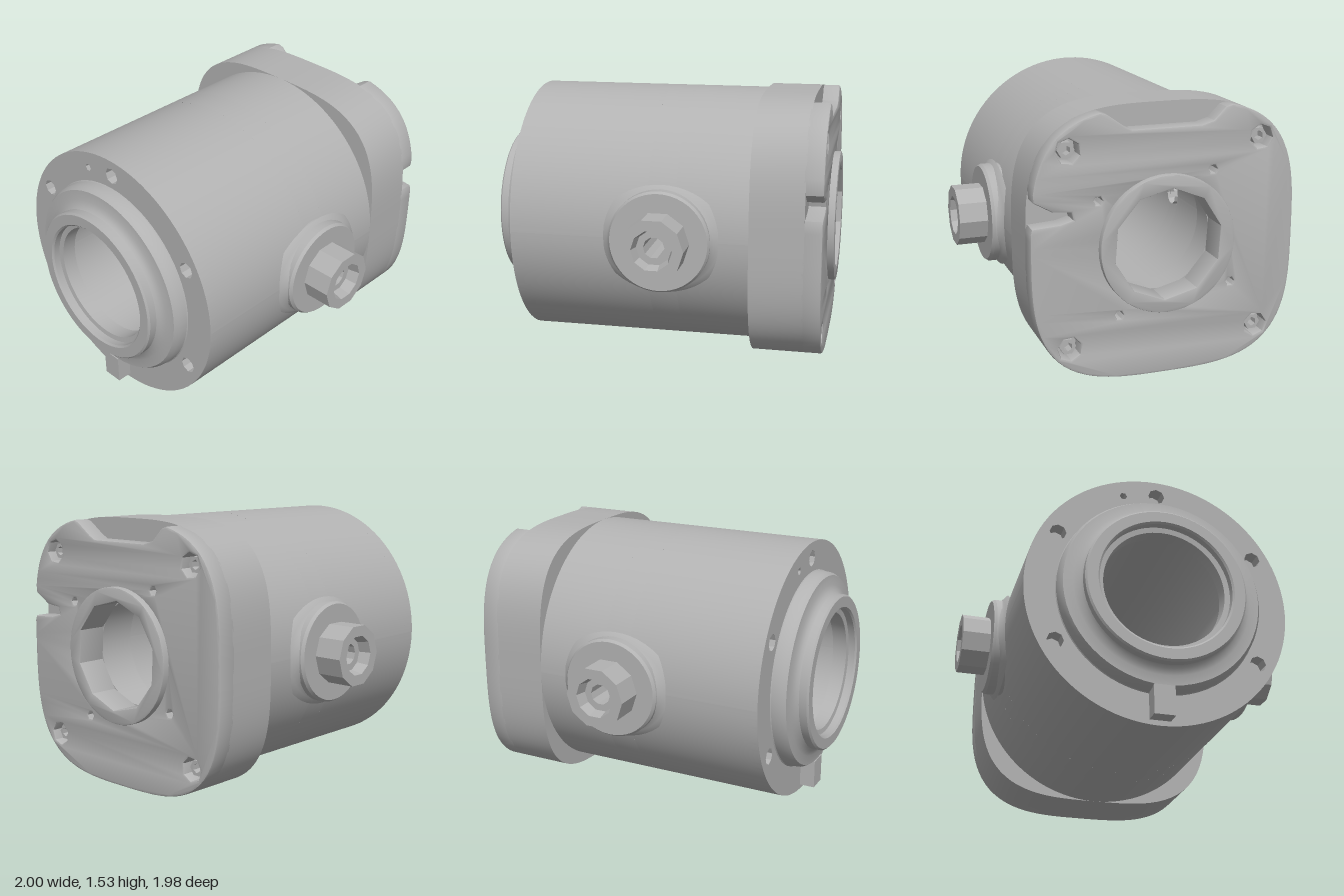
import * as THREE from 'three';
import { toCreasedNormals } from 'three/addons/utils/BufferGeometryUtils.js';

const R = 0.765;        // body radius and flange half width
const PORT = 0.055;     // position of the side ports along the axis

export function createModel() {
  const castMetal = new THREE.MeshStandardMaterial({ color: 0xb2b2b2, side: THREE.DoubleSide });
  castMetal.name = 'castMetal';

  // The housing is built along local z, then turned so that z becomes x.
  const housing = new THREE.Group();
  housing.name = 'housing';
  housing.rotation.y = Math.PI / 2;
  housing.position.y = 0.768;

  const add = (name, geometry, crease = 0.5) => {
    const mesh = new THREE.Mesh(toCreasedNormals(geometry, crease), castMetal);
    mesh.name = name;
    housing.add(mesh);
    return mesh;
  };
  const lathe = (points, segments) =>
    new THREE.LatheGeometry(points.map(([r, h]) => new THREE.Vector2(r, h)), segments);
  const axialLathe = (points, segments) => lathe(points, segments).rotateX(Math.PI / 2);
  const polygon = (x, y, r, sides, turn = 0) => Array.from({ length: sides }, (_, i) => {
    const a = turn + i / sides * Math.PI * 2;
    return new THREE.Vector2(x + r * Math.cos(a), y + r * Math.sin(a));
  });
  const extrude = (outline, holes, z0, z1, bevel = 0) => {
    const shape = new THREE.Shape(outline);
    holes.forEach(h => shape.holes.push(new THREE.Path(h)));
    return new THREE.ExtrudeGeometry(shape, {
      depth: z1 - z0 - 2 * bevel, bevelEnabled: bevel > 0, bevelThickness: bevel,
      bevelSize: bevel, bevelOffset: -bevel, bevelSegments: 2,
    }).translate(0, 0, z0 + bevel);
  };

  // Cylinder wall with an opening at each side port
  const portedWall = (name, r, z0, z1, half) => {
    const gap = Math.asin(half / r);
    const section = (a, b, start, length) => add(name,
      new THREE.CylinderGeometry(r, r, b - a, 64, 1, true, start, length)
        .rotateX(Math.PI / 2).translate(0, 0, (a + b) / 2));
    for (const start of [Math.PI / 2, Math.PI * 1.5]) {
      section(z0, PORT - half, start, Math.PI);
      section(PORT - half, PORT + half, start + gap, Math.PI - 2 * gap);
      section(PORT + half, z1, start, Math.PI);
    }
  };
  portedWall('bodyWall', R, -0.82, 0.56, 0.08);
  portedWall('boreWall', 0.42, -0.86, 0.82, 0.055);

  // Rounded square flange outline
  const squircle = Array.from({ length: 120 }, (_, i) => {
    const a = i / 120 * Math.PI * 2, n = 3.3;
    const c = Math.cos(a), s = Math.sin(a);
    const r = R / Math.pow(Math.abs(c) ** n + Math.abs(s) ** n, 1 / n);
    return new THREE.Vector2(r * c, r * s);
  });

  // Front outline has a shallow notch at the top and a slot in one side
  const notched = [];
  let topDone = false, sideDone = false;
  const cut = points => points.forEach(([x, y]) => notched.push(new THREE.Vector2(x, y)));
  for (const p of squircle) {
    if (p.y > 0 && Math.abs(p.x) < 0.37) {
      if (!topDone) cut([[0.34, 0.73], [0.27, 0.66], [0.2, 0.64], [-0.2, 0.64], [-0.24, 0.66], [-0.34, 0.73]]);
      topDone = true;
    } else if (p.x < 0 && p.y > 0.15 && p.y < 0.3) {
      if (!sideDone) cut([[-0.745, 0.29], [-0.64, 0.23], [-0.54, 0.22], [-0.53, 0.18], [-0.6, 0.16], [-0.755, 0.15]]);
      sideDone = true;
    } else notched.push(p);
  }

  // Flange with corner bolt pockets and small holes around the bore
  const corners = [[1, 1], [-1, 1], [-1, -1], [1, -1]].map(([x, y]) => [x * 0.555, y * 0.55]);
  const pinHoles = [[-0.39, 0.27], [0.27, 0.39], [0.39, -0.27], [-0.27, -0.39]];
  const centre = polygon(0, 0, 0.36, 48);
  add('flangeBack', extrude(squircle, [centre], 0.55, 0.855));
  add('flangeFront', extrude(notched, [
    centre,
    ...corners.map(([x, y]) => polygon(x, y, 0.068, 7, Math.atan2(y, x))),
    ...pinHoles.map(([x, y]) => polygon(x, y, 0.024, 6)),
  ], 0.835, 0.955, 0.012));
  for (const [x, y] of corners) {
    add('boltSocket', extrude(polygon(0, 0, 0.048, 6), [polygon(0, 0, 0.027, 6, 0.5)], 0.85, 0.915)
      .translate(x, y, 0));
  }

  // Raised lip with a ten sided opening
  add('frontLip', extrude(polygon(0, 0, 0.39, 48), [polygon(0, 0, 0.315, 10, 0.25)], 0.82, 0.995, 0.006));
  add('frontBoreStep', new THREE.RingGeometry(0.31, 0.42, 48).translate(0, 0, 0.82));

  // Rear plate with bolt holes
  const rearHoles = Array.from({ length: 6 }, (_, i) => {
    const a = Math.PI / 6 + i * Math.PI / 3;
    return polygon(0.67 * Math.cos(a), 0.67 * Math.sin(a), 0.048, 8);
  });
  rearHoles.push(polygon(0.2, 0.64, 0.022, 6));
  add('rearPlate', extrude(polygon(0, 0, R, 96), [polygon(0, 0, 0.5, 48), ...rearHoles], -0.825, -0.74));
  add('rearHoleFloor', new THREE.RingGeometry(0.45, 0.755, 64).translate(0, 0, -0.735));

  // Stepped rear collar with its stepped opening
  add('rearCollar', axialLathe([
    [0.6, 0.815], [0.585, 0.83], [0.58, 0.885], [0.565, 0.91], [0.51, 0.915], [0.475, 0.93],
    [0.462, 0.945], [0.462, 0.99], [0.452, 1], [0.39, 1], [0.38, 0.99], [0.38, 0.95],
    [0.35, 0.945], [0.35, 0.86], [0.42, 0.86],
  ].map(([r, h]) => [r, -h]), 64));
  add('rearKey', new THREE.BoxGeometry(0.12, 0.17, 0.1).translate(0, -0.65, -0.865));

  // Side ports: round boss, soft flare and faceted nozzle with a stepped hole
  for (const side of [1, -1]) {
    const place = geometry => geometry.rotateZ(-side * Math.PI / 2).translate(0, 0, PORT);
    add('portBoss', place(lathe([[0.29, 0.66], [0.29, 0.805], [0.278, 0.822], [0.15, 0.822]], 48)));
    add('portFlare', place(lathe([[0.37, 0.735], [0.335, 0.762], [0.305, 0.775], [0.285, 0.805]], 48)
      .scale(0.84, 1, 1)), 0.9);
    add('portNozzle', place(lathe([
      [0.177, 0.8], [0.177, 0.988], [0.115, 0.988], [0.1, 0.92], [0.06, 0.92], [0.06, 0.4],
    ], 10)), 0.3);
  }

  const model = new THREE.Group();
  model.name = 'motorHousing';
  model.add(housing);
  return model;
}
